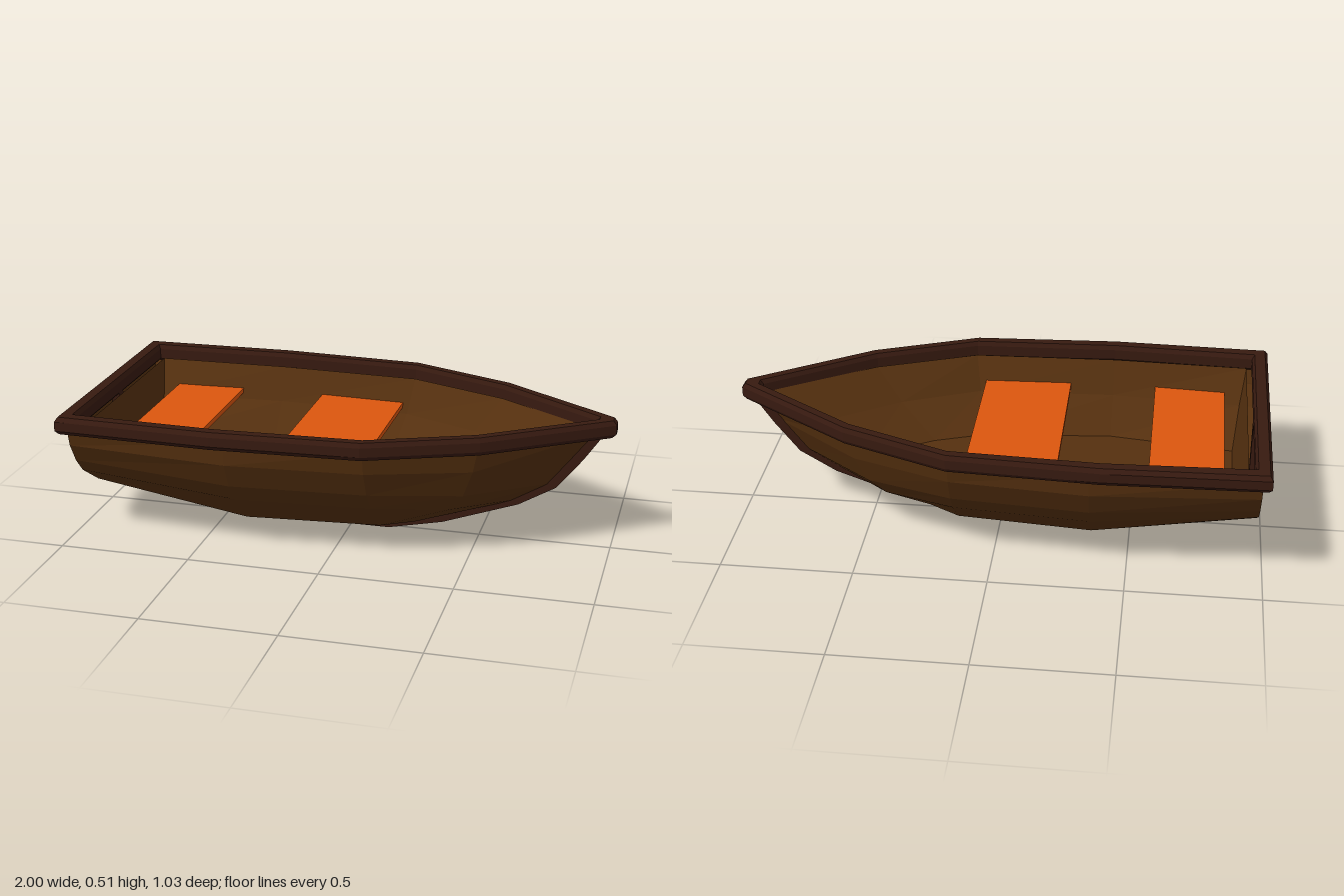
import * as THREE from 'three';

const paint = (color) => new THREE.MeshStandardMaterial({ color, flatShading: true, side: THREE.DoubleSide });
const mirror = ([x, y, z]) => [x, y, -z];

// Faceted surface through rows of points, optionally closed both ways
function grid(rows, closed = false) {
  const pos = [];
  const n = rows.length, m = rows[0].length;
  for (let i = 0; i < (closed ? n : n - 1); i++) {
    for (let j = 0; j < (closed ? m : m - 1); j++) {
      const a = rows[i][j], b = rows[(i + 1) % n][j];
      const c = rows[(i + 1) % n][(j + 1) % m], d = rows[i][(j + 1) % m];
      pos.push(...a, ...b, ...c, ...a, ...c, ...d);
    }
  }
  const g = new THREE.BufferGeometry();
  g.setAttribute('position', new THREE.Float32BufferAttribute(pos, 3));
  g.computeVertexNormals();
  return g;
}

function extrude(points, depth) {
  const shape = new THREE.Shape(points.map(([x, y]) => new THREE.Vector2(x, y)));
  return new THREE.ExtrudeGeometry(shape, { depth, bevelEnabled: false });
}

// Half cross-sections of the outer hull, stern to bow, each from keel to rim
const outerSections = [
  [[-0.97, 0.12, 0], [-0.97, 0.16, 0.2], [-0.97, 0.25, 0.34], [-0.97, 0.31, 0.395], [-0.97, 0.385, 0.44], [-0.97, 0.46, 0.46]],
  [[-0.36, 0.02, 0], [-0.36, 0.07, 0.215], [-0.36, 0.2, 0.36], [-0.36, 0.275, 0.42], [-0.36, 0.375, 0.47], [-0.36, 0.46, 0.48]],
  [[0.15, 0.02, 0], [0.15, 0.07, 0.17], [0.15, 0.2, 0.32], [0.15, 0.275, 0.38], [0.15, 0.375, 0.43], [0.15, 0.46, 0.45]],
  [[0.21, 0.03, 0], [0.27, 0.07, 0.1], [0.42, 0.175, 0.2], [0.48, 0.255, 0.25], [0.52, 0.365, 0.285], [0.54, 0.46, 0.3]],
  [[0.3, 0.045, 0], [0.35, 0.06, 0], [0.645, 0.16, 0], [0.78, 0.24, 0], [0.87, 0.355, 0], [0.95, 0.46, 0]],
];

// Half cross-sections of the inner planking, from floor to rim
const innerSections = [
  [[-0.88, 0.2, 0.22], [-0.9, 0.33, 0.36], [-0.92, 0.46, 0.43]],
  [[-0.4, 0.2, 0.285], [-0.4, 0.33, 0.39], [-0.4, 0.46, 0.445]],
  [[0.1, 0.2, 0.24], [0.13, 0.33, 0.365], [0.15, 0.46, 0.425]],
  [[0.29, 0.2, 0.17], [0.43, 0.33, 0.235], [0.53, 0.46, 0.275]],
  [[0.54, 0.2, 0.02], [0.75, 0.33, 0.017], [0.93, 0.46, 0.012]],
];

// Rim plan on one side: outer x, z and inner x, z
const rimPlan = [
  [-1, 0.5, -0.94, 0.44],
  [-0.4, 0.515, -0.4, 0.46],
  [0.15, 0.485, 0.15, 0.437],
  [0.55, 0.325, 0.53, 0.283],
  [1, 0.02, 0.925, 0.014],
];
// Rim moulding: fraction from outer to inner edge, height
const rimProfile = [[0.2, 0.445], [0, 0.46], [0, 0.495], [0.18, 0.512], [0.85, 0.512], [1, 0.495], [1, 0.455], [0.85, 0.445]];

export function createModel() {
  const boat = new THREE.Group();
  boat.name = 'rowingBoat';
  const wood = paint(0x55300f), darkWood = paint(0x371a10), orange = paint(0xdc560e);
  const add = (name, geometry, material) => {
    const mesh = new THREE.Mesh(geometry, material);
    mesh.name = name;
    boat.add(mesh);
    return mesh;
  };

  // Outer hull and flat stern
  add('hull', grid(outerSections.map((s) => [...s.slice(1).reverse().map(mirror), ...s])), wood);
  add('transom', grid([outerSections[0].map(mirror), outerSections[0]]), wood);

  // Inner planking, stern lining and floor
  add('leftLining', grid(innerSections.map((s) => [...s].reverse())), wood);
  add('rightLining', grid(innerSections.map((s) => s.map(mirror))), wood);
  add('sternLining', grid([innerSections[0], innerSections[0].map(mirror)]), wood);
  const floorEdge = innerSections.map((s) => s[0]);
  add('floor', grid([floorEdge.map(mirror), floorEdge]), wood);

  // Rim swept round the whole outline
  const outline = [...rimPlan, ...[...rimPlan].reverse().map(([a, b, c, d]) => [a, -b, c, -d])];
  add('rim', grid(outline.map(([ox, oz, ix, iz]) =>
    rimProfile.map(([t, y]) => [ox + (ix - ox) * t, y, oz + (iz - oz) * t])), true), darkWood);

  // Sternpost, keel and stem in one strip
  const keel = extrude([
    [-0.98, 0.46], [-0.98, 0.115], [-0.965, 0.1], [-0.36, 0], [0.15, 0], [0.36, 0.045], [0.65, 0.148],
    [0.79, 0.23], [0.885, 0.35], [0.96, 0.46],
    [0.92, 0.46], [0.85, 0.37], [0.75, 0.26], [0.62, 0.18], [0.34, 0.08], [0.15, 0.04], [-0.36, 0.04],
    [-0.94, 0.14], [-0.94, 0.46],
  ], 0.042);
  add('keel', keel, darkWood).position.z = -0.021;

  // Plank seats, each tapered to follow the sides: x and half-width at both edges
  const seats = { rearSeat: [-0.84, 0.395, -0.565, 0.41], middleSeat: [-0.23, 0.4, 0.11, 0.383] };
  for (const [name, [x0, w0, x1, w1]] of Object.entries(seats)) {
    const seat = extrude([[x0, -w0], [x1, -w1], [x1, w1], [x0, w0]], 0.02);
    add(name, seat.rotateX(-Math.PI / 2), orange).position.y = 0.35;
  }
  return boat;
}
